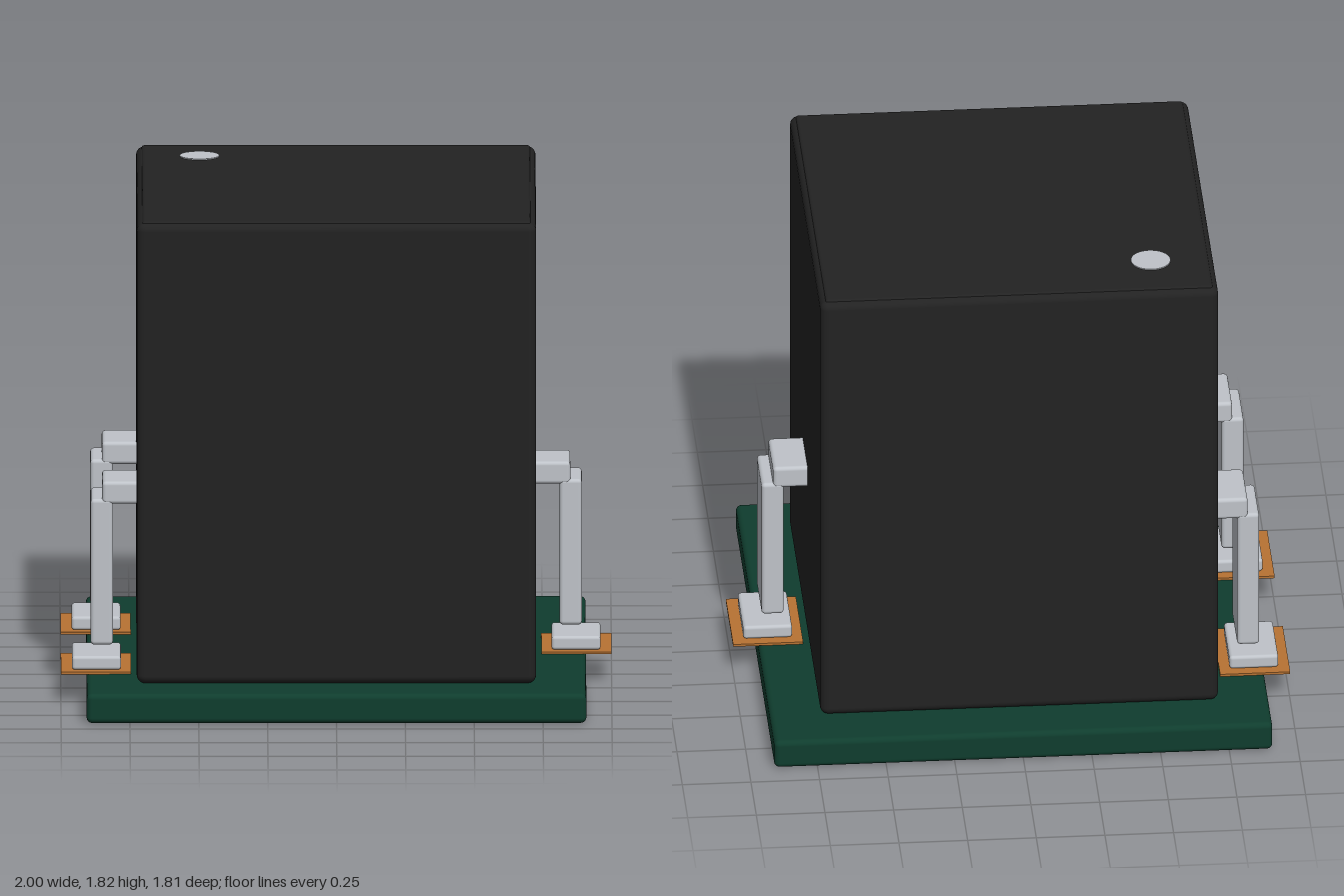
import * as THREE from 'three';
import { RoundedBoxGeometry } from 'three/addons/geometries/RoundedBoxGeometry.js';

const mat = (name, color) => {
  const m = new THREE.MeshStandardMaterial({ color });
  m.name = name;
  return m;
};

export function createModel() {
  const black = mat('black plastic', 0x222222);
  const green = mat('board green', 0x0f3d2e);
  const silver = mat('tinned metal', 0xbfc3c9);
  const copper = mat('copper', 0xb87333);
  const model = new THREE.Group();
  model.name = 'surfaceMountComponent';

  // Box with softened edges, given by its extents in x and y and its depth in z
  const block = (parent, name, material, x0, x1, y0, y1, depth, radius) => {
    const size = [x1 - x0, y1 - y0, depth];
    const geometry = radius
      ? new RoundedBoxGeometry(...size, 3, radius)
      : new THREE.BoxGeometry(...size);
    const mesh = new THREE.Mesh(geometry, material);
    mesh.name = name;
    mesh.position.set((x0 + x1) / 2, (y0 + y1) / 2, 0);
    parent.add(mesh);
  };

  // Board and housing with a slightly inset lid
  block(model, 'board', green, -0.907, 0.907, 0, 0.109, 1.814, 0.02);
  block(model, 'housing', black, -0.725, 0.725, 0.109, 1.814, 1.45, 0.03);
  block(model, 'lid', black, -0.705, 0.705, 1.78, 1.819, 1.41, 0.01);

  // Orientation mark on the lid
  const mark = new THREE.Mesh(new THREE.CylinderGeometry(0.072, 0.072, 0.006, 40), silver);
  mark.name = 'orientationMark';
  mark.position.set(-0.495, 1.82, -0.495);
  model.add(mark);

  // Pins: copper pad, foot, upright leg and shoulder entering the housing
  const addPin = (name, z, turned) => {
    const pin = new THREE.Group();
    pin.name = name;
    block(pin, 'pad', copper, 0.745, 1, 0.109, 0.118, 0.346, 0);
    block(pin, 'foot', silver, 0.782, 0.96, 0.116, 0.167, 0.27, 0.012);
    block(pin, 'leg', silver, 0.811, 0.892, 0.205, 0.745, 0.234, 0.014);
    block(pin, 'shoulder', silver, 0.68, 0.85, 0.727, 0.81, 0.234, 0.014);
    pin.position.z = z;
    if (turned) pin.rotation.y = Math.PI;
    model.add(pin);
  };
  addPin('leftPin', 0, false);
  addPin('rightFrontPin', 0.363, true);
  addPin('rightBackPin', -0.363, true);

  return model;
}
